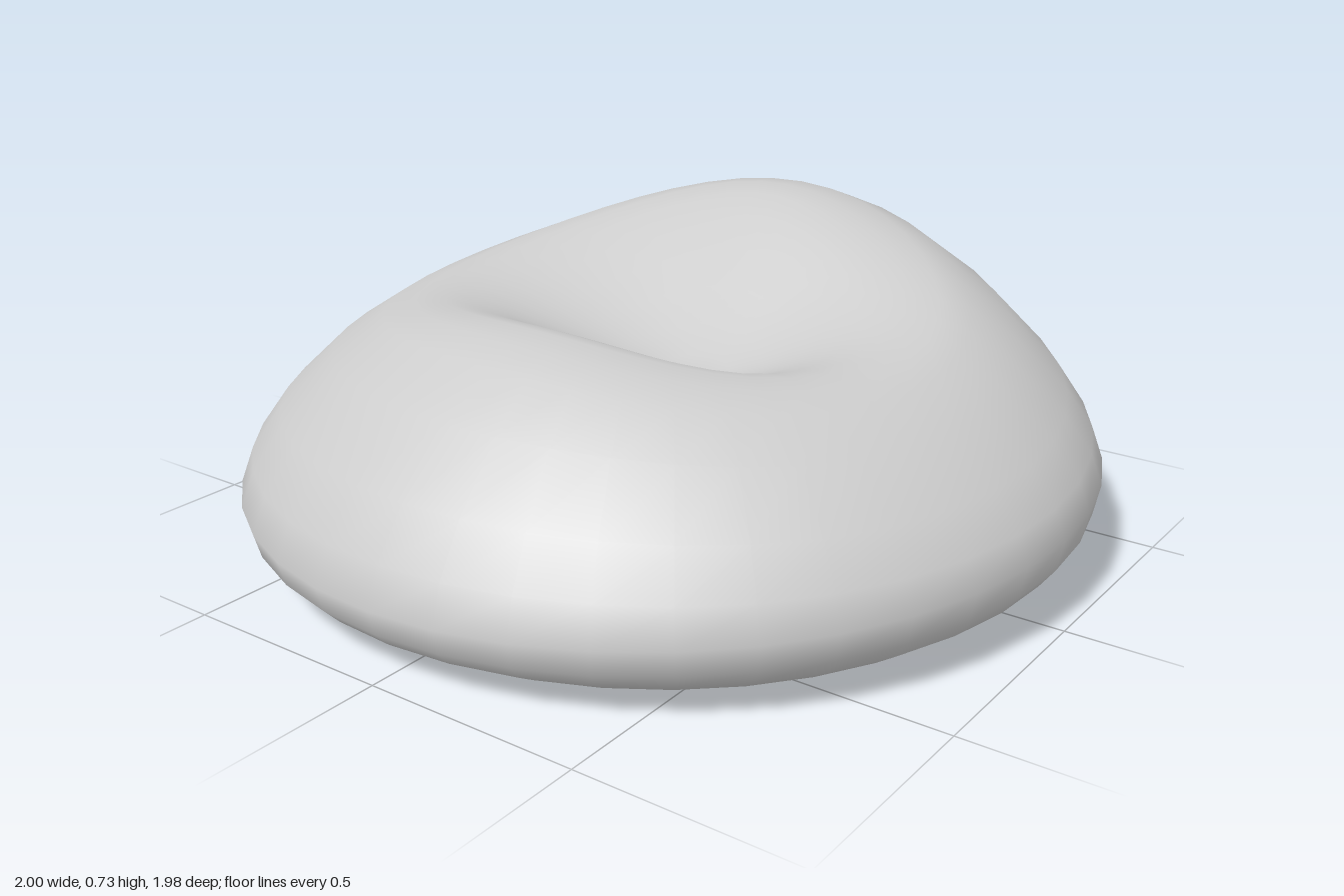
import * as THREE from 'three';

const SEGMENTS = 40;
const SEAT = { x: -0.15, y: 0.43, z: 0.17 }; // lowest point of the hollow

// fabric fall from rim (0, 1) to widest line (1, 0)
const OUTER = [[0.15, 0.985], [0.31, 0.92], [0.55, 0.73], [0.8, 0.44], [0.94, 0.2], [1, 0]];
// tuck from widest line to floor: radius factor, height factor
const UNDER = [[0.985, 0.65], [0.95, 0.42], [0.88, 0.16], [0.78, 0.015], [0.4, 0], [0, 0]];
const INNER = [0, 0.15, 0.3, 0.45, 0.6, 0.75, 0.88, 1];

// one section from the hollow, over the rim and down to the floor
function section(angle) {
  const c = Math.cos(angle), s = Math.sin(angle);
  const edge = 0.99 + 0.01 * c * c - 0.005 * s;
  const rim = 0.51 - 0.04 * Math.cos(2 * angle);
  const rimY = 0.595 + 0.07 * c + 0.06 * Math.cos(2 * angle) - 0.012 * s;
  const wideY = 0.185 + 0.025 * c + 0.015 * s;
  const points = [];
  for (const t of INNER) {
    const k = t * t * (3 - 2 * t);
    points.push([
      THREE.MathUtils.lerp(SEAT.x, rim * c, t),
      THREE.MathUtils.lerp(SEAT.y, rimY, k),
      THREE.MathUtils.lerp(SEAT.z, rim * s, t),
    ]);
  }
  for (const [u, v] of OUTER) {
    const r = rim + (edge - rim) * u;
    points.push([r * c, wideY + (rimY - wideY) * v, r * s]);
  }
  for (const [u, v] of UNDER) points.push([edge * u * c, wideY * v, edge * u * s]);
  return points;
}

function cushionGeometry() {
  const positions = [], index = [];
  const rings = INNER.length + OUTER.length + UNDER.length;
  for (let j = 0; j < SEGMENTS; j++) {
    for (const p of section((j / SEGMENTS) * Math.PI * 2)) positions.push(...p);
  }
  for (let j = 0; j < SEGMENTS; j++) {
    const here = j * rings, next = ((j + 1) % SEGMENTS) * rings;
    for (let i = 0; i < rings - 1; i++) {
      if (i < rings - 2) index.push(here + i, next + i + 1, here + i + 1);
      if (i > 0) index.push(here + i, next + i, next + i + 1);
      // close the last ring onto the middle of the base
      if (i === rings - 2) index.push(here + i, next + i, here + i + 1);
    }
  }
  // the last ring is already closed by single triangles, so drop its collapsed duplicates
  const clean = [];
  for (let k = 0; k < index.length; k += 3) {
    const [a, b, d] = index.slice(k, k + 3);
    const last = (n) => n % rings === rings - 1;
    if (last(b) && !last(a) && !last(d)) continue;
    if (last(d) && d >= rings && Math.floor(d / rings) !== Math.floor(a / rings)) continue;
    clean.push(a, b, d);
  }
  // weld the seat and base centres
  const weld = clean.map((n) => (n % rings === 0 ? 0 : n % rings === rings - 1 ? rings - 1 : n));
  const geometry = new THREE.BufferGeometry();
  geometry.setAttribute('position', new THREE.Float32BufferAttribute(positions, 3));
  geometry.setIndex(weld);
  geometry.computeVertexNormals();
  return geometry;
}

export function createModel() {
  const group = new THREE.Group();
  group.name = 'beanBag';
  const fabric = new THREE.MeshStandardMaterial({ color: 0xcccccc });
  fabric.name = 'grey fabric';
  const cushion = new THREE.Mesh(cushionGeometry(), fabric);
  cushion.name = 'cushion';
  group.add(cushion);
  return group;
}
